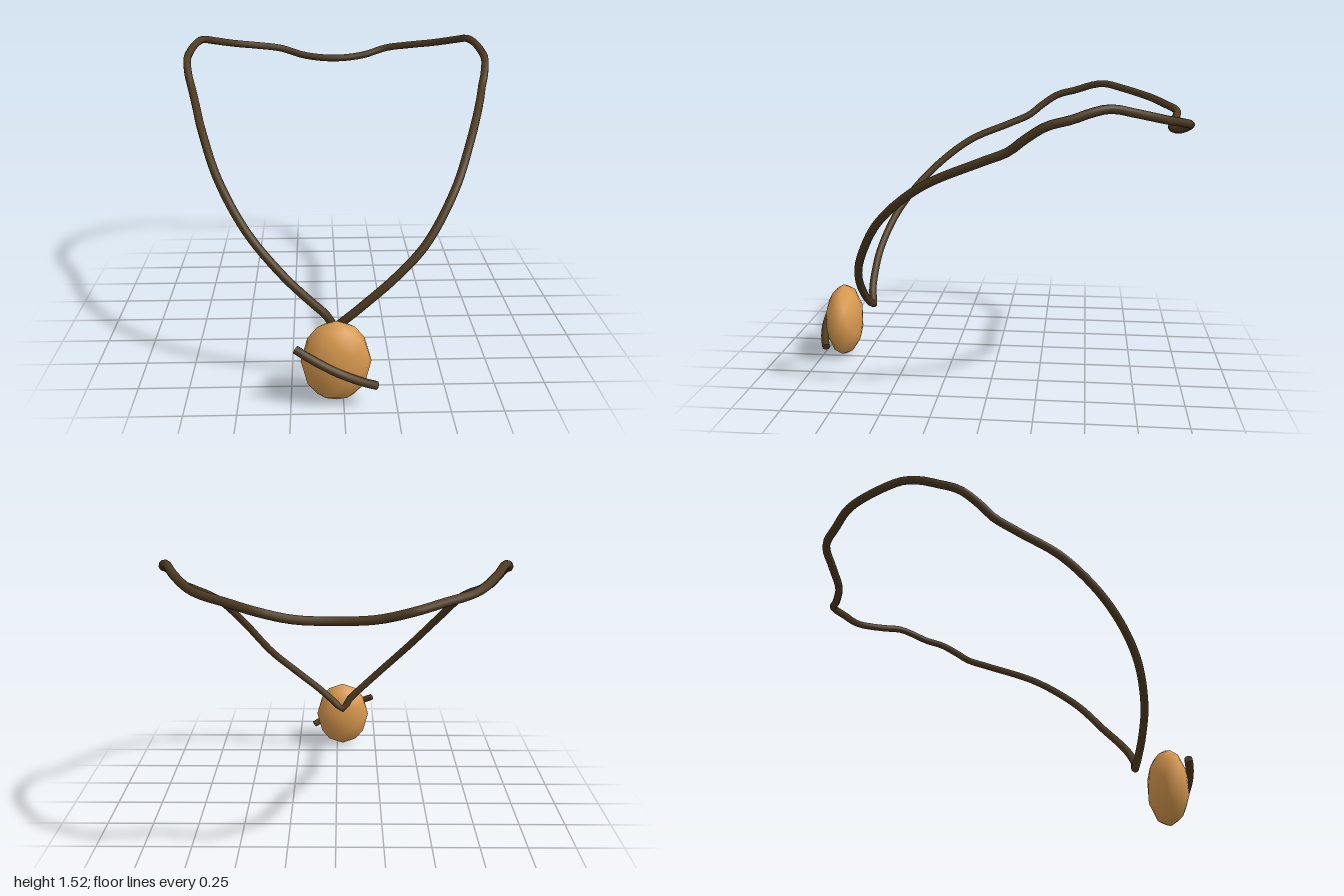
import * as THREE from 'three';

const cordMaterial = new THREE.MeshStandardMaterial({ color: 0x4d3a20 });
cordMaterial.name = 'dark brown cord';
const beadMaterial = new THREE.MeshStandardMaterial({ color: 0xd9994f });
beadMaterial.name = 'amber bead';

const RADIUS = 0.021;
const vec = (p) => new THREE.Vector3(...p);

function add(group, name, geometry, material) {
  const mesh = new THREE.Mesh(geometry, material);
  mesh.name = name;
  group.add(mesh);
  return mesh;
}

export function createModel() {
  const group = new THREE.Group();
  group.name = 'necklace';

  // Neck cord: lower front runs differ slightly, the upper part is mirrored
  const rightFront = [
    [-0.035, 0.31, 0.705], [0.02, 0.355, 0.722], [0.12, 0.445, 0.727], [0.25, 0.558, 0.71],
    [0.4, 0.705, 0.655], [0.55, 0.93, 0.52], [0.66, 1.125, 0.29],
  ];
  const upper = [
    [0.752, 1.26, 0], [0.785, 1.315, -0.13], [0.808, 1.37, -0.2], [0.826, 1.435, -0.3],
    [0.822, 1.465, -0.41], [0.8, 1.495, -0.5], [0.77, 1.508, -0.58], [0.72, 1.485, -0.69],
    [0.61, 1.445, -0.84], [0.46, 1.418, -0.92], [0.33, 1.393, -0.975], [0.18, 1.352, -0.947],
  ];
  const back = [[0, 1.338, -0.922]];
  const leftFront = [
    [-0.695, 1.165, 0.23], [-0.595, 0.975, 0.47], [-0.45, 0.765, 0.635],
    [-0.28, 0.575, 0.71], [-0.16, 0.455, 0.722], [-0.08, 0.375, 0.718],
  ];
  const mirrored = upper.map(([x, y, z]) => [-x, y, z]).reverse();
  const loop = [...rightFront, ...upper, ...back, ...mirrored, ...leftFront].map(vec);
  const cordCurve = new THREE.CatmullRomCurve3(loop, true);
  add(group, 'neckCord', new THREE.TubeGeometry(cordCurve, 160, RADIUS, 10, true), cordMaterial);

  // Flattened egg-shaped bead with a faceted outline and smooth shading
  const bead = add(group, 'bead', new THREE.IcosahedronGeometry(1, 1), beadMaterial);
  bead.scale.set(0.167, 0.208, 0.104);
  bead.position.set(-0.035, 0.213, 0.875);

  // Bowed band lying diagonally across the front of the bead
  const ends = [[-0.225, 0.307, 0.935], [0.152, 0.113, 0.935]].map(vec);
  const bandCurve = new THREE.QuadraticBezierCurve3(ends[0], vec([-0.036, 0.21, 1.022]), ends[1]);
  add(group, 'beadBand', new THREE.TubeGeometry(bandCurve, 14, RADIUS, 8, false), cordMaterial);

  // Flat caps closing the band ends
  ends.forEach((end, i) => {
    const outward = bandCurve.getTangent(i).multiplyScalar(i ? 1 : -1);
    const cap = add(group, 'beadBandCap', new THREE.CircleGeometry(RADIUS, 8), cordMaterial);
    cap.position.copy(end);
    cap.quaternion.setFromUnitVectors(new THREE.Vector3(0, 0, 1), outward);
  });

  return group;
}
